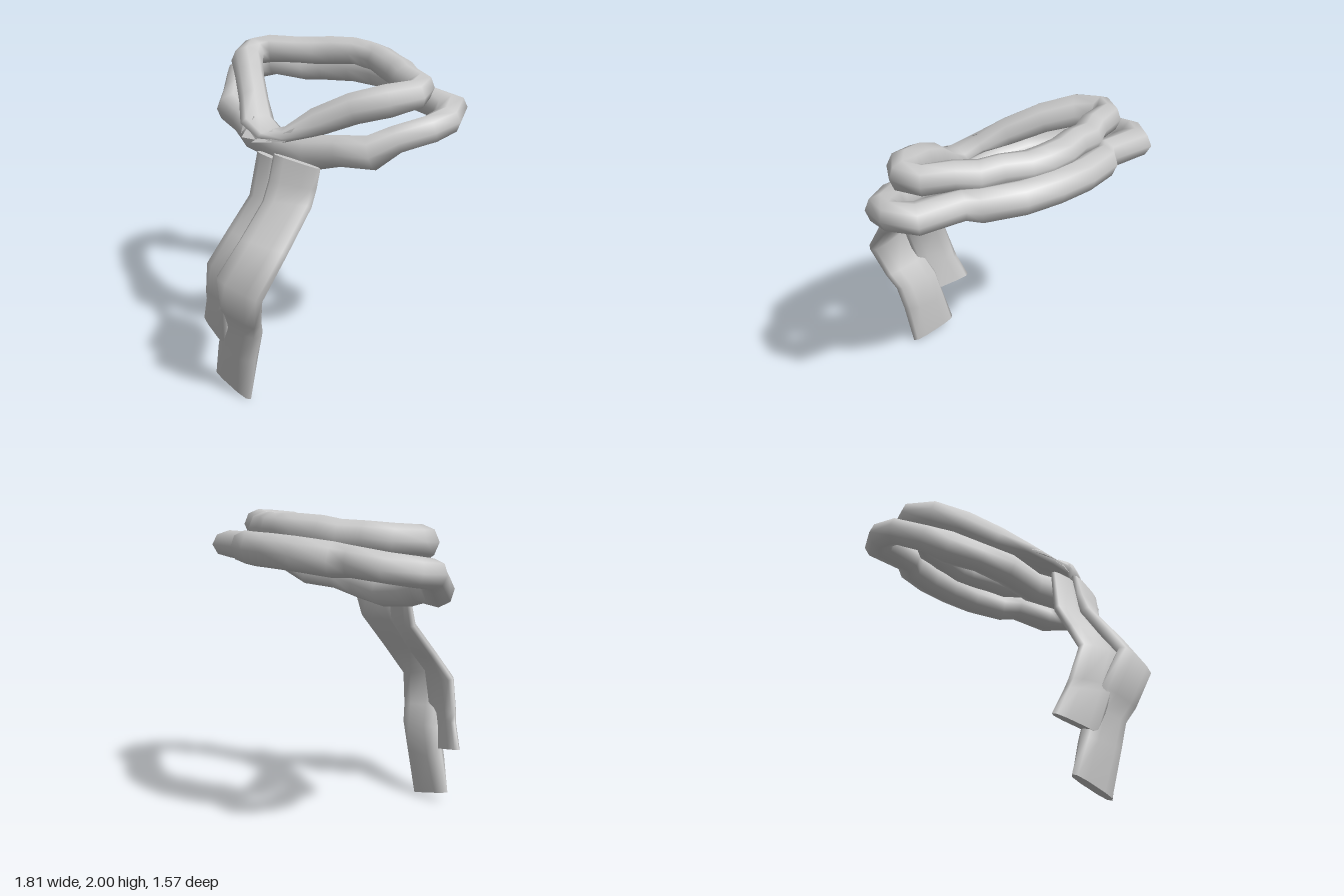
import * as THREE from 'three';

const V = (x, y, z) => new THREE.Vector3(x, y, z);

// Skin a row of sections {c, h, v}: centre plus two half-axes; power < 1 makes the section boxier
function loft(sections, sides, closed, power = 1) {
  const pos = [], idx = [], n = sections.length;
  const bend = (q) => Math.sign(q) * Math.pow(Math.abs(q), power);
  const ring = ({ c, h, v }) => {
    for (let j = 0; j < sides; j++) {
      const a = (j / sides) * Math.PI * 2;
      const p = c.clone().addScaledVector(h, bend(Math.cos(a))).addScaledVector(v, bend(Math.sin(a)));
      pos.push(p.x, p.y, p.z);
    }
  };
  sections.forEach(ring);
  for (let i = 0; i < (closed ? n : n - 1); i++) {
    const k = (i + 1) % n;
    for (let j = 0; j < sides; j++) {
      const m = (j + 1) % sides;
      const a = i * sides + j, b = k * sides + j, c = i * sides + m, d = k * sides + m;
      idx.push(a, b, c, b, d, c);
    }
  }
  if (!closed) {
    [sections[0], sections[n - 1]].forEach((s, e) => {
      const base = pos.length / 3;
      ring(s);
      for (let j = 1; j < sides - 1; j++) {
        if (e) idx.push(base, base + j + 1, base + j);
        else idx.push(base, base + j, base + j + 1);
      }
    });
  }
  const g = new THREE.BufferGeometry();
  g.setAttribute('position', new THREE.Float32BufferAttribute(pos, 3));
  g.setIndex(idx);
  g.computeVertexNormals();
  return g;
}

// Closed loop from points [x, y, z, half width, half height], front to left to back
function loopGeometry(points) {
  const n = points.length;
  const at = (i) => V(...points[(i + n) % n].slice(0, 3));
  return loft(points.map((p, i) => {
    const t = at(i + 1).sub(at(i - 1)).normalize();
    const h = t.clone().cross(V(0, 1, 0)).normalize();
    const v = h.clone().cross(t);
    return { c: at(i), h: h.multiplyScalar(p[3]), v: v.multiplyScalar(p[4]) };
  }), 8, true);
}

// Half a loop (front to back), mirrored to the other side with a slight shift
function mirrored(half, dx, dy) {
  const other = half.slice(1, -1).reverse()
    .map(([x, y, z, w, h]) => [-x + dx, y + dy, z, w, h]);
  return [...half, ...other];
}

// Hanging strip from rows [left edge, right edge, half thickness], top to bottom
function tailGeometry(rows) {
  const mid = rows.map(([l, r]) => V(...l).add(V(...r)).multiplyScalar(0.5));
  return loft(rows.map(([l, r, thick], i) => {
    const h = V(...r).sub(V(...l)).multiplyScalar(0.5);
    const t = mid[Math.min(i + 1, mid.length - 1)].clone().sub(mid[Math.max(i - 1, 0)]);
    const v = h.clone().cross(t).normalize().multiplyScalar(thick);
    return { c: mid[i], h, v };
  }), 10, false, 0.7);
}

export function createModel() {
  const model = new THREE.Group();
  const cloth = new THREE.MeshStandardMaterial({ color: 0xcccccc, side: THREE.DoubleSide });
  cloth.name = 'pale grey cloth';
  const add = (name, geometry) => {
    const mesh = new THREE.Mesh(geometry, cloth);
    mesh.name = name;
    model.add(mesh);
  };

  // Upper loop, pinched flat at the front
  add('upperLoop', loopGeometry(mirrored([
    [0, 1.58, 0.245, 0.105, 0.03],
    [0.12, 1.605, 0.22, 0.105, 0.045],
    [0.26, 1.685, 0.12, 0.09, 0.085],
    [0.43, 1.775, 0.0, 0.09, 0.095],
    [0.59, 1.83, -0.12, 0.1, 0.1],
    [0.67, 1.855, -0.25, 0.085, 0.09],
    [0.62, 1.865, -0.355, 0.085, 0.09],
    [0.46, 1.875, -0.42, 0.09, 0.085],
    [0.35, 1.875, -0.5, 0.095, 0.09],
    [0.23, 1.89, -0.535, 0.09, 0.09],
    [0.1, 1.9, -0.595, 0.095, 0.085],
    [0, 1.905, -0.605, 0.095, 0.09],
  ], -0.02, 0.015)));

  // Lower loop, wider and sagging at the front
  add('lowerLoop', loopGeometry(mirrored([
    [0, 1.47, 0.135, 0.09, 0.1],
    [0.23, 1.495, 0.145, 0.09, 0.105],
    [0.4, 1.535, 0.085, 0.085, 0.095],
    [0.595, 1.555, 0.02, 0.1, 0.105],
    [0.68, 1.63, -0.09, 0.085, 0.085],
    [0.81, 1.69, -0.23, 0.085, 0.085],
    [0.82, 1.715, -0.36, 0.085, 0.085],
    [0.74, 1.74, -0.49, 0.11, 0.085],
    [0.48, 1.75, -0.525, 0.085, 0.09],
    [0.41, 1.76, -0.6, 0.09, 0.1],
    [0.2, 1.775, -0.675, 0.095, 0.1],
    [0, 1.785, -0.695, 0.095, 0.1],
  ], -0.005, 0.01)));

  // Longer front tail
  add('longTail', tailGeometry([
    [[0.14, 1.52, 0.35], [0.435, 1.48, 0.265], 0.028],
    [[0.14, 1.37, 0.39], [0.425, 1.36, 0.285], 0.034],
    [[0.14, 1.25, 0.44], [0.41, 1.25, 0.31], 0.042],
    [[0.12, 1.05, 0.6], [0.425, 1.02, 0.52], 0.042],
    [[0.09, 0.86, 0.755], [0.41, 0.79, 0.695], 0.045],
    [[0.02, 0.62, 0.67], [0.33, 0.58, 0.64], 0.046],
    [[-0.03, 0.5, 0.61], [0.28, 0.48, 0.595], 0.055],
    [[-0.085, 0.3, 0.595], [0.23, 0.3, 0.595], 0.058],
    [[-0.15, 0.08, 0.585], [0.17, 0.0, 0.585], 0.03],
  ]));

  // Shorter tail tucked behind, its edge showing through the front tail
  add('shortTail', tailGeometry([
    [[-0.02, 1.49, 0.325], [0.16, 1.48, 0.33], 0.025],
    [[-0.04, 1.22, 0.37], [0.17, 1.24, 0.375], 0.035],
    [[-0.085, 1.02, 0.515], [0.17, 1.02, 0.535], 0.035],
    [[-0.125, 0.84, 0.64], [0.16, 0.86, 0.67], 0.035],
    [[-0.185, 0.63, 0.61], [0.1, 0.65, 0.65], 0.03],
    [[-0.2, 0.57, 0.59], [0.085, 0.59, 0.685], 0.028],
    [[-0.27, 0.41, 0.56], [0.025, 0.34, 0.63], 0.03],
  ]));

  // Crumpled cloth points where the loop is pinched
  const folds = [
    [[-0.3, 1.66, 0.16], [-0.13, 1.58, 0.36], [-0.12, 1.66, 0.26]],
    [[-0.14, 1.6, 0.3], [-0.12, 1.56, 0.365], [0.0, 1.57, 0.36]],
    [[-0.03, 1.55, 0.37], [0.06, 1.63, 0.28], [0.1, 1.57, 0.33]],
    [[0.06, 1.57, 0.34], [0.22, 1.67, 0.26], [0.17, 1.58, 0.29]],
  ];
  folds.forEach((corners, i) => {
    const g = new THREE.BufferGeometry().setFromPoints(corners.map((c) => V(...c)));
    g.computeVertexNormals();
    add('pinchFold' + (i + 1), g);
  });

  return model;
}
